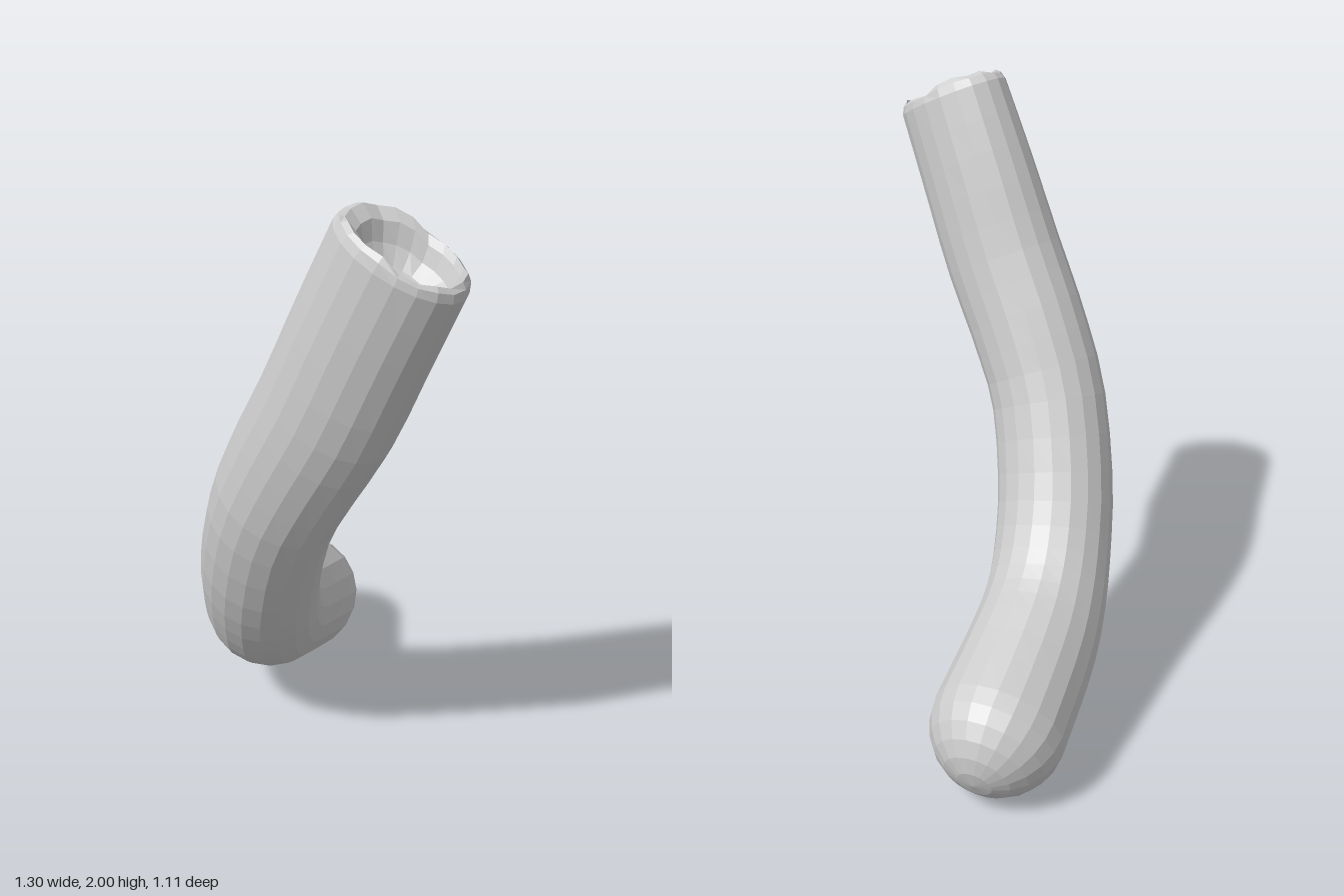
import * as THREE from 'three';

const SIDES = 20;
const V = (x, y, z) => new THREE.Vector3(x, y, z);

// Centre line from the rounded end up to the broken rim
const path = new THREE.CatmullRomCurve3([
  V(-0.44, 0.22, -0.34), V(-0.35, 0.32, -0.1), V(-0.28, 0.41, 0.05), V(-0.21, 0.54, 0.165),
  V(-0.13, 0.73, 0.265), V(-0.02, 0.985, 0.345), V(0.1, 1.2, 0.372), V(0.225, 1.41, 0.385),
  V(0.345, 1.66, 0.39), V(0.46, 1.895, 0.393),
], false, 'catmullrom');

// Half width (x) and half depth (y) at the same stations
const size = new THREE.CatmullRomCurve3([
  V(0.217, 0.217, 0), V(0.205, 0.215, 0), V(0.2, 0.2, 0), V(0.2, 0.185, 0),
  V(0.2, 0.18, 0), V(0.2, 0.175, 0), V(0.207, 0.172, 0), V(0.212, 0.168, 0),
  V(0.208, 0.158, 0), V(0.203, 0.145, 0),
], false, 'catmullrom');

// One elliptical ring: along = slide on the axis, scale = shrink, shift = sideways, rough = chipped edge
function ring(t, { along = 0, scale = 1, shift = 0, rough = 0 } = {}) {
  const axis = path.getTangent(t);
  const side = V(0.9, -0.41, -0.08);
  side.addScaledVector(axis, -side.dot(axis)).normalize();
  const depth = axis.clone().cross(side);
  const centre = path.getPoint(t).addScaledVector(axis, along).addScaledVector(side, shift);
  const s = size.getPoint(t);
  return Array.from({ length: SIDES }, (_, j) => {
    const a = (j / SIDES) * Math.PI * 2;
    const chip = rough * (Math.sin(3 * a + 1) + 0.7 * Math.sin(7 * a));
    return centre.clone()
      .addScaledVector(side, Math.cos(a) * s.x * scale)
      .addScaledVector(depth, Math.sin(a) * s.y * scale)
      .addScaledVector(axis, chip);
  });
}

// Joins consecutive rings with triangles
function loft(rings) {
  const pos = [];
  const tri = (a, b, c) => {
    if (a.distanceTo(b) < 1e-5 || b.distanceTo(c) < 1e-5 || a.distanceTo(c) < 1e-5) return;
    for (const p of [a, b, c]) pos.push(p.x, p.y, p.z);
  };
  for (let i = 0; i < rings.length - 1; i++) {
    for (let j = 0; j < SIDES; j++) {
      const k = (j + 1) % SIDES;
      const a = rings[i][j], b = rings[i][k], c = rings[i + 1][k], d = rings[i + 1][j];
      tri(a, b, d);
      tri(b, c, d);
    }
  }
  const geometry = new THREE.BufferGeometry();
  geometry.setAttribute('position', new THREE.Float32BufferAttribute(pos, 3));
  geometry.computeVertexNormals();
  return geometry;
}

export function createModel() {
  const group = new THREE.Group();
  group.name = 'bentStick';
  const material = new THREE.MeshStandardMaterial({ color: 0xcccccc, flatShading: true });
  const add = (name, rings) => {
    const mesh = new THREE.Mesh(loft(rings), material);
    mesh.name = name;
    group.add(mesh);
  };

  // Rounded end
  const cap = [];
  for (let i = 0; i <= 6; i++) {
    const a = (i / 6) * Math.PI / 2;
    cap.push(ring(0, { along: -0.217 * Math.cos(a), scale: Math.sin(a) }));
  }
  add('roundedEnd', cap);

  // Bent shaft
  const shaft = [];
  for (let i = 0; i <= 22; i++) shaft.push(ring(i / 22));
  add('shaft', shaft);

  // Chipped rim and the hollow inside it
  add('hollowRim', [
    ring(1),
    ring(1, { along: 0.025, scale: 0.95, rough: 0.004 }),
    ring(1, { along: 0.035, scale: 0.87, rough: 0.009 }),
    ring(1, { along: 0.015, scale: 0.76, shift: 0.02, rough: 0.008 }),
    ring(1, { along: -0.035, scale: 0.66, shift: 0.03, rough: 0.004 }),
    ring(1, { along: -0.075, scale: 0.45, shift: 0.03 }),
    ring(1, { along: -0.095, scale: 0, shift: 0.03 }),
  ]);
  return group;
}
